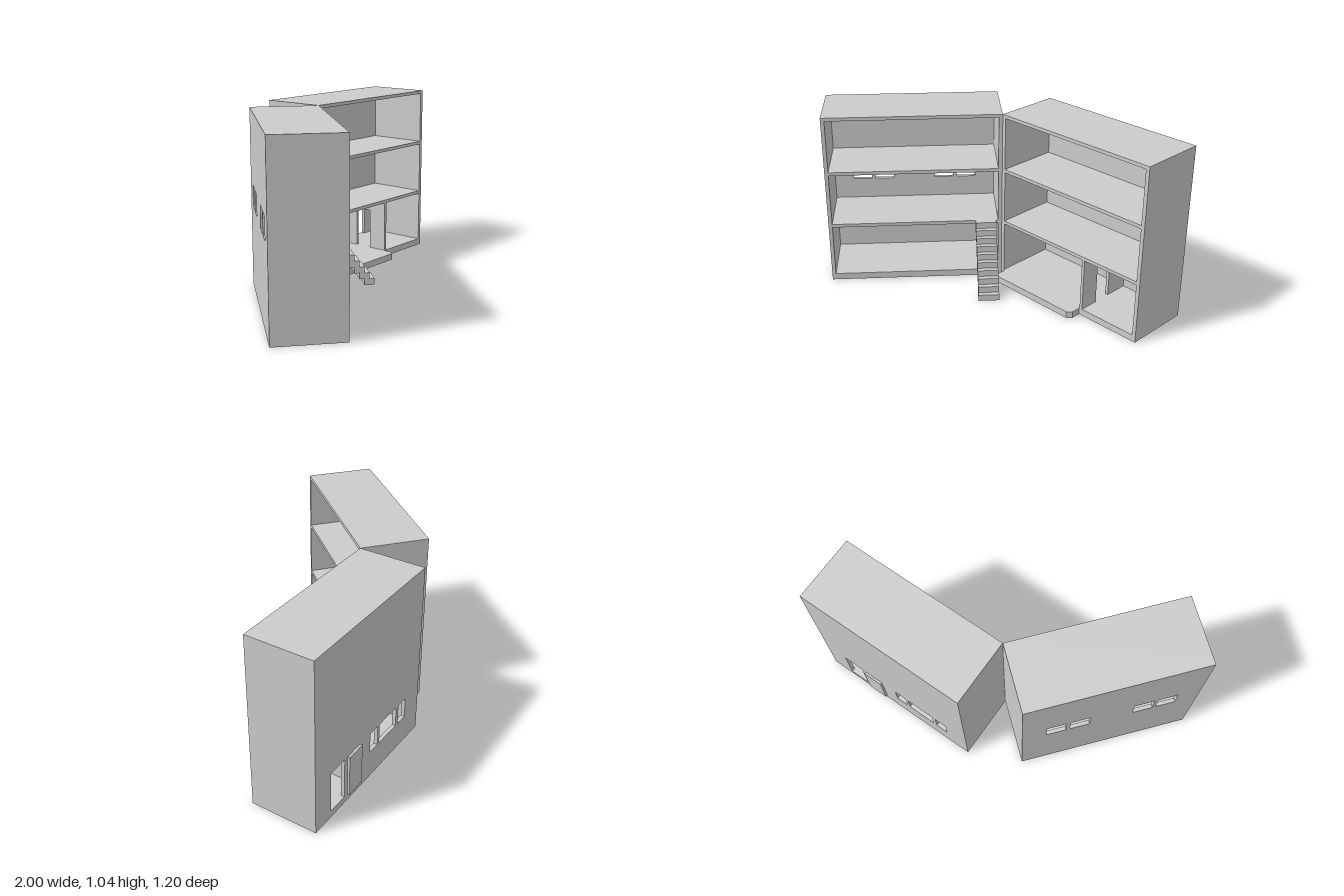
import * as THREE from 'three';

const L = 1.03, D = 0.397, H = 1.045, T = 0.022, BASE = 0.04; // block size, wall and base thickness
const STOREYS = [[BASE, 0.355], [0.375, 0.69], [0.71, 1.025]];
const material = new THREE.MeshStandardMaterial({ color: 0xcccccc, flatShading: true });

function mesh(name, geometry) {
  const m = new THREE.Mesh(geometry, material);
  m.name = name;
  return m;
}

function box(name, x0, x1, y0, y1, z0, z1) {
  const m = mesh(name, new THREE.BoxGeometry(x1 - x0, y1 - y0, z1 - z0));
  m.position.set((x0 + x1) / 2, (y0 + y1) / 2, (z0 + z1) / 2);
  return m;
}

const polygon = (points) => new THREE.Shape(points.map(([x, y]) => new THREE.Vector2(x, y)));
const rect = (x0, x1, y0, y1) => polygon([[x0, y0], [x1, y0], [x1, y1], [x0, y1]]);
const extrude = (shape, depth) => new THREE.ExtrudeGeometry(shape, { depth, bevelEnabled: false });

// Rectangular panel facing +z with rectangular openings [x0, x1, y0, y1]
function panel(name, x0, x1, openings, depth, z) {
  const shape = rect(x0, x1, 0, H);
  shape.holes = openings.map((o) => rect(...o));
  const m = mesh(name, extrude(shape, depth));
  m.position.z = z;
  return m;
}

// Open-fronted three-storey block, front face on local z = 0
function block(name, x0, openings) {
  const g = new THREE.Group();
  g.name = name;
  const x1 = x0 + L;
  const rooms = STOREYS.map(([y0, y1]) => [x0 + T, x1 - T, y0, y1]);
  g.add(panel('wallsAndFloors', x0, x1, rooms, D - T, T - D));
  g.add(panel('backWall', x0, x1, openings, T, -D));
  return g;
}

export function createModel() {
  const model = new THREE.Group();
  model.name = 'openHouse';

  // Fixed block: three windows and a doorway in the back wall
  const main = block('mainBlock', 0, [
    [0.145, 0.22, 0.165, 0.29], [0.245, 0.42, 0.165, 0.29], [0.44, 0.515, 0.165, 0.29],
    [0.765, 0.89, BASE, 0.29],
  ]);

  // Ground-floor partition with an inner doorway
  const [y0, y1] = STOREYS[0];
  const depth = D - T;
  const partition = mesh('partition', extrude(polygon([
    [0, y0], [0.12, y0], [0.12, 0.29], [0.23, 0.29], [0.23, y0], [depth, y0], [depth, y1], [0, y1],
  ]), 0.018).rotateY(Math.PI / 2));
  partition.position.x = 0.632;
  main.add(partition);

  // Sliding door on the outside of the back wall
  main.add(box('slidingDoor', 0.615, 0.737, BASE, 0.29, -D - 0.013, -D));

  // Porch slab with one cut corner
  main.add(mesh('porch', extrude(polygon([
    [0.03, 0], [0.63, 0], [0.63, -0.058], [0.605, -0.083], [0.03, -0.083],
  ]), BASE).rotateX(-Math.PI / 2)));

  // Swung-open block: two window pairs on the middle storey
  const wing = block('hingedBlock', -L, [[0.14, 0.255], [0.277, 0.393], [0.645, 0.762], [0.782, 0.895]]
    .map(([a, b]) => [-b, -a, 0.5, 0.625]));
  wing.rotation.y = 0.868;

  // Stairs up to the middle storey, treads overlapping in depth
  const stairs = new THREE.Group();
  stairs.name = 'stairs';
  const rise = 0.0375, run = 0.03;
  for (let i = 0; i < 10; i++) {
    const front = run * (i + 1) + 0.003;
    const top = rise * (10 - i);
    stairs.add(box('step', -0.157, -0.035, top - rise, top, Math.max(0, front - 2 * run), front));
  }
  wing.add(stairs);

  // Both blocks meet at the hinge corner
  for (const g of [main, wing]) g.position.set(-0.035, 0, -0.19);
  model.add(main, wing);
  return model;
}
